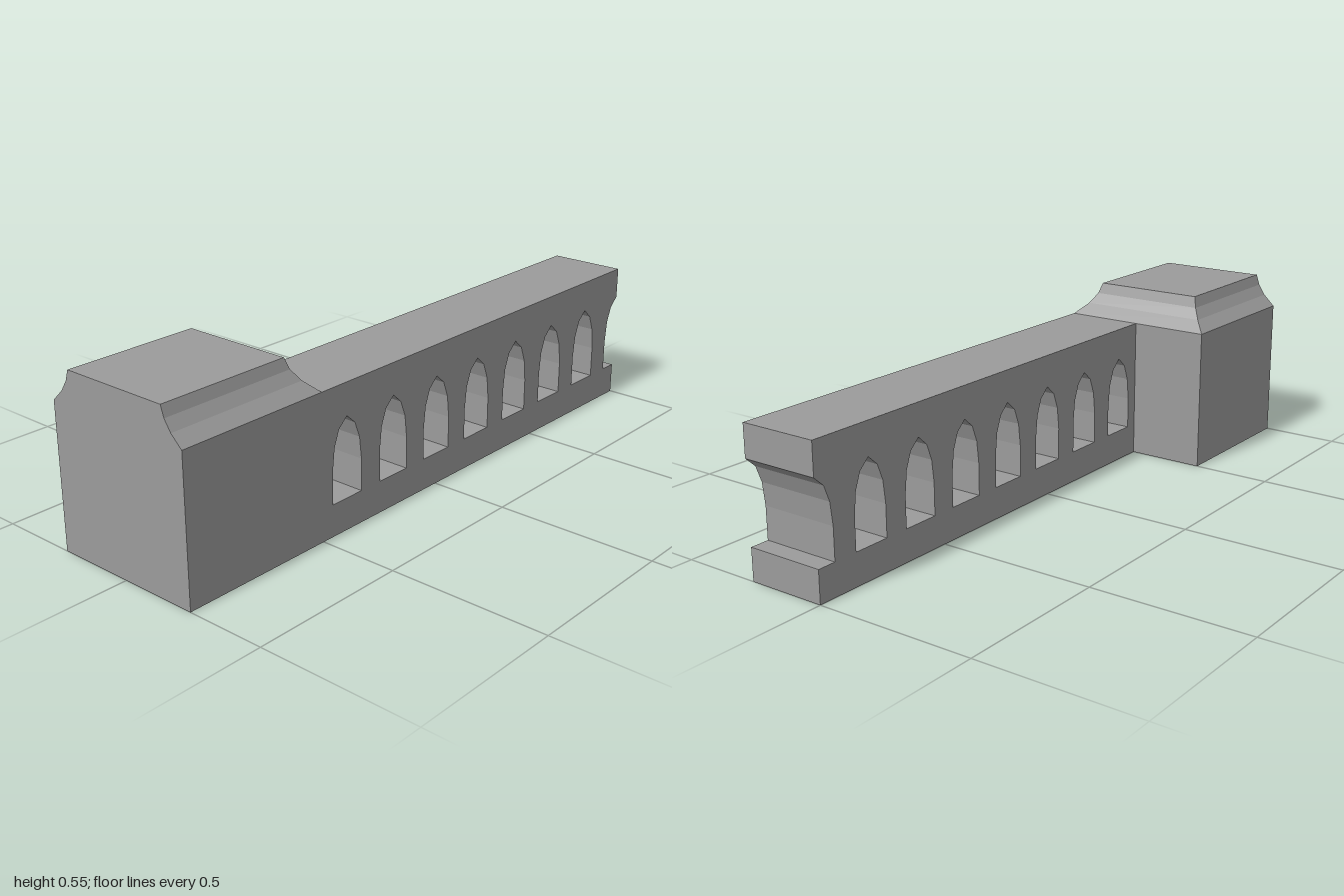
import * as THREE from 'three';

const material = new THREE.MeshStandardMaterial({ color: 0x9b9b9b, flatShading: true });

const HEIGHT = 0.45, DEPTH = 0.25, POST_EDGE = -0.5;

// Half of the pointed arch: [half width, height] from sill to apex
const ARCH = [[0.06, 0.1], [0.06, 0.2], [0.052, 0.27], [0.033, 0.32], [0, 0.35]];

// Concave cap moulding: [inset, height]
const COVE = [[0, 0.45], [0.037, 0.485], [0.059, 0.518], [0.07, 0.552]];

function addMesh(group, name, geometry) {
  const mesh = new THREE.Mesh(geometry, material);
  mesh.name = name;
  group.add(mesh);
  return mesh;
}

// Wall pierced by seven arches, with half an arch cut into its open end
function arcadeGeometry() {
  const outline = [[POST_EDGE, 0], [1, 0]];
  for (const [w, y] of [[0, 0.1], ...ARCH]) outline.push([1 - w, y]);
  outline.push([1, HEIGHT], [POST_EDGE, HEIGHT]);
  const shape = new THREE.Shape(outline.map(([x, y]) => new THREE.Vector2(x, y)));

  for (let i = 0; i < 7; i++) {
    const cx = -0.4 + i * 0.2;
    const left = ARCH.map(([w, y]) => new THREE.Vector2(cx - w, y));
    const right = ARCH.slice(0, -1).reverse().map(([w, y]) => new THREE.Vector2(cx + w, y));
    shape.holes.push(new THREE.Path([...left, ...right]));
  }
  return new THREE.ExtrudeGeometry(shape, { depth: DEPTH, bevelEnabled: false });
}

// Cap coved on three sides, flush with the post on its outer end
function capGeometry() {
  const rings = COVE.map(([d, y]) => [
    [-1, y, DEPTH - d], [POST_EDGE - d, y, DEPTH - d],
    [POST_EDGE - d, y, d - DEPTH], [-1, y, d - DEPTH],
  ]);
  const positions = [];
  const quad = (a, b, c, d) => positions.push(...a, ...b, ...c, ...a, ...c, ...d);
  for (let r = 0; r < rings.length - 1; r++) {
    for (let i = 0; i < 4; i++) {
      const j = (i + 1) % 4;
      quad(rings[r][i], rings[r][j], rings[r + 1][j], rings[r + 1][i]);
    }
  }
  quad(...rings[rings.length - 1]);

  const geometry = new THREE.BufferGeometry();
  geometry.setAttribute('position', new THREE.Float32BufferAttribute(positions, 3));
  geometry.computeVertexNormals();
  return geometry;
}

export function createModel() {
  const model = new THREE.Group();
  model.name = 'archedParapet';
  addMesh(model, 'arcadeWall', arcadeGeometry());
  const post = addMesh(model, 'post', new THREE.BoxGeometry(0.5, HEIGHT, DEPTH * 2));
  post.position.set(-0.75, HEIGHT / 2, 0);
  addMesh(model, 'postCap', capGeometry());
  return model;
}
